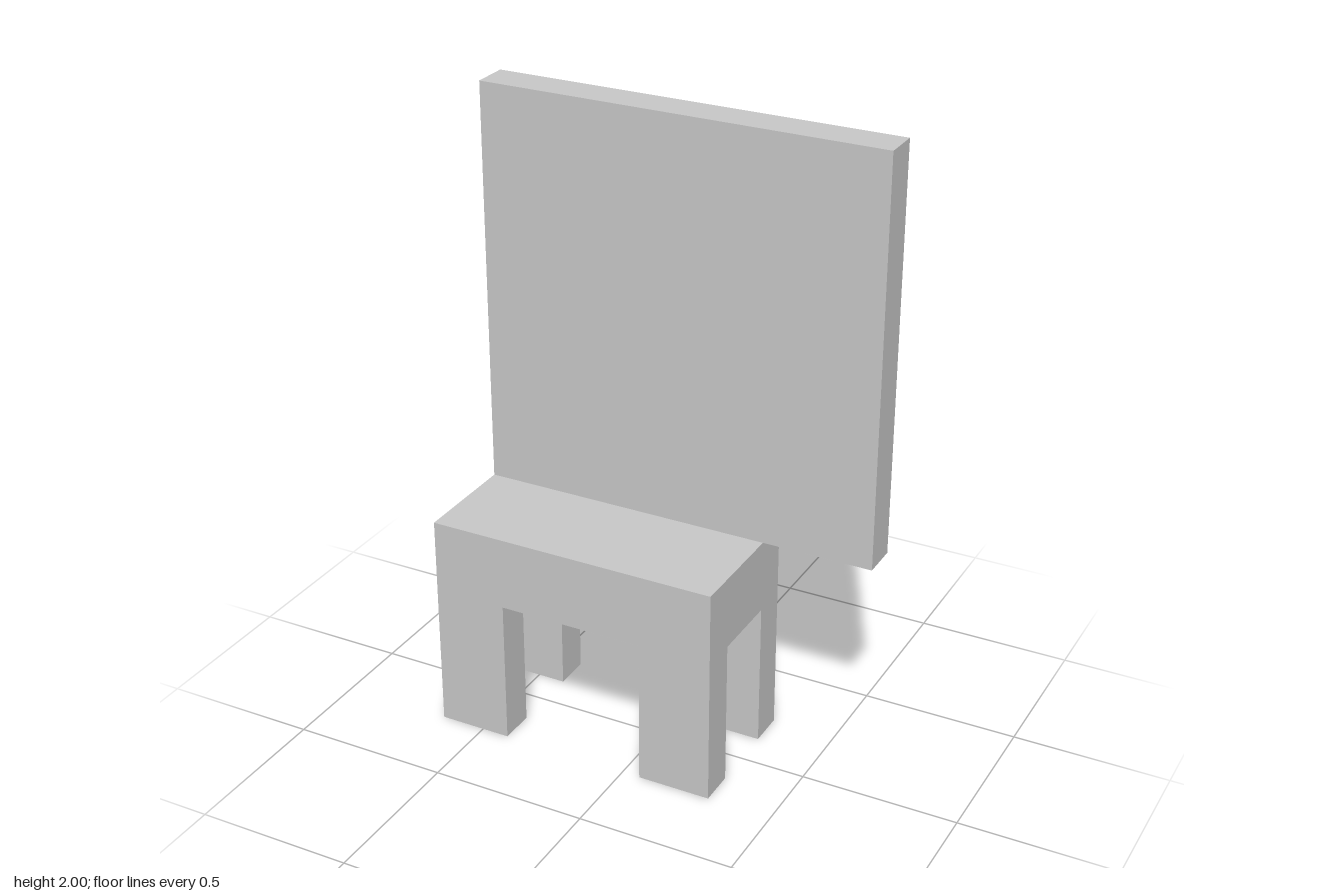
import * as THREE from 'three';

export function createModel() {
  const model = new THREE.Group();
  model.name = 'chair';

  const grey = new THREE.MeshStandardMaterial({ color: 0xc8c8c8 });
  grey.name = 'light grey';

  // Box given by its minimum and maximum corners
  function block(name, [x0, y0, z0], [x1, y1, z1]) {
    const mesh = new THREE.Mesh(new THREE.BoxGeometry(x1 - x0, y1 - y0, z1 - z0), grey);
    mesh.position.set((x0 + x1) / 2, (y0 + y1) / 2, (z0 + z1) / 2);
    mesh.name = name;
    model.add(mesh);
  }

  const right = -0.645, seatLeft = 0.293, backLeft = 0.645;
  const legWidth = 0.2345, thickness = 0.1173, halfDepth = 0.2345;
  const legTop = 0.473, seatTop = 0.708;

  // Broad back panel, overhanging the seat on the left
  block('backrest', [right, seatTop, -halfDepth], [backLeft, 2, -halfDepth + thickness]);

  // Thick seat
  block('seat', [right, legTop, -halfDepth], [seatLeft, seatTop, halfDepth]);

  // Four legs flush with the seat corners
  for (const [side, x] of [['Right', right], ['Left', seatLeft - legWidth]]) {
    for (const [end, z] of [['front', halfDepth - thickness], ['back', -halfDepth]]) {
      block(`${end}${side}Leg`, [x, 0, z], [x + legWidth, legTop, z + thickness]);
    }
  }

  return model;
}
